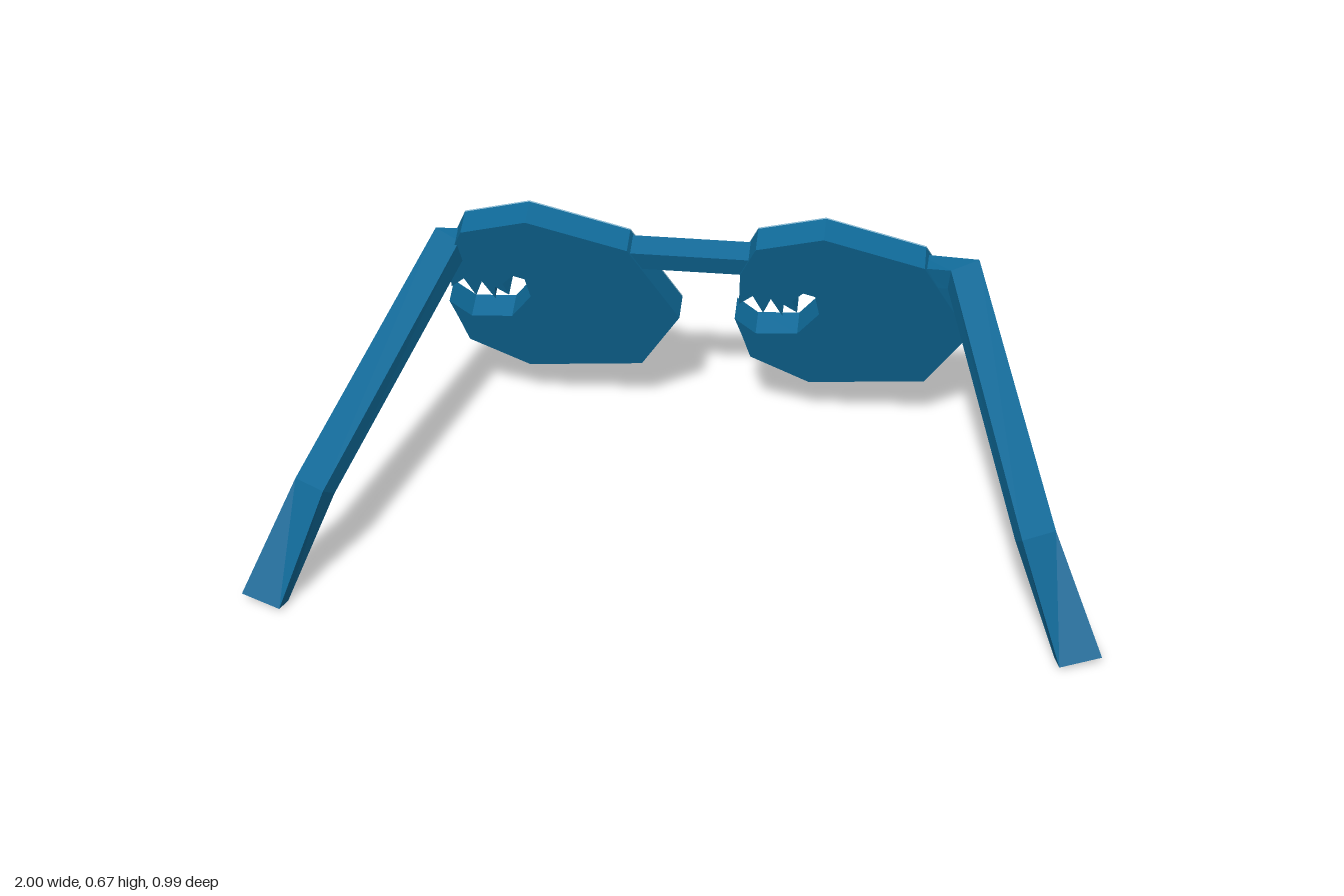
import * as THREE from 'three';

const TILT = 0.316;      // lean of the lenses
const DEPTH = 0.07;      // lens thickness
const MID_Y = 0.386;     // height of the lens pivot

// Crest edge shared by the lens and its foam: right side, over the top, down to the dripping teeth
const crest = [
  [0.295, 0.34], [0.175, 0.57], [-0.07, 0.648], [-0.235, 0.6], [-0.275, 0.51], [-0.28, 0.405],
  [-0.245, 0.437], [-0.22, 0.378], [-0.2, 0.43], [-0.172, 0.372], [-0.168, 0.412],
  [-0.135, 0.387], [-0.148, 0.425], [-0.12, 0.457], [-0.09, 0.447],
];
// Hollow of the wave, its lower hook and the round underside
const trough = [
  [-0.08, 0.385], [-0.135, 0.308], [-0.24, 0.3], [-0.292, 0.35],
  [-0.275, 0.29], [-0.255, 0.21], [-0.105, 0.125], [0.19, 0.157],
];
// Wavy lower border of the foam
const drips = [
  [-0.045, 0.478], [-0.013, 0.478], [0.012, 0.415], [0.045, 0.425], [0.072, 0.447],
  [0.1, 0.36], [0.125, 0.37], [0.148, 0.41], [0.16, 0.336], [0.19, 0.35], [0.22, 0.38], [0.27, 0.3],
];

function plate(points, depth) {
  const shape = new THREE.Shape(
    points.map(([x, y]) => new THREE.Vector2(x, (y - MID_Y) / Math.cos(TILT))));
  return new THREE.ExtrudeGeometry(shape, { depth, bevelEnabled: false });
}

// Four-cornered bar through rings of corners; side = -1 mirrors it in x
function bar(rings, side) {
  const pos = rings.flat().flatMap(([x, y, z]) => [x * side, y, z]);
  const faces = [[0, 3, 2], [0, 2, 1]];
  for (let r = 0; r < rings.length - 1; r++) {
    for (let i = 0; i < 4; i++) {
      const a = r * 4 + i, b = r * 4 + (i + 1) % 4;
      faces.push([a, b, b + 4], [a, b + 4, a + 4]);
    }
  }
  const e = (rings.length - 1) * 4;
  faces.push([e, e + 1, e + 2], [e, e + 2, e + 3]);
  const geo = new THREE.BufferGeometry();
  geo.setAttribute('position', new THREE.Float32BufferAttribute(pos, 3));
  geo.setIndex(faces.flatMap(f => (side < 0 ? [f[0], f[2], f[1]] : f)));
  const flat = geo.toNonIndexed();
  flat.computeVertexNormals();
  return flat;
}

export function createModel() {
  const model = new THREE.Group();
  model.name = 'waveGlasses';

  const blue = new THREE.MeshStandardMaterial({ color: 0x0e6896 });
  blue.name = 'oceanBlue';
  const pale = new THREE.MeshStandardMaterial({ color: 0x86b4cc });
  pale.name = 'foamBlue';

  const add = (parent, name, geo, mat) => {
    const mesh = new THREE.Mesh(geo, mat);
    mesh.name = name;
    parent.add(mesh);
    return mesh;
  };

  // Lenses: the same wave twice, with foam on the back
  const lensGeo = plate([...crest, ...trough], DEPTH);
  const foamGeo = plate([...crest, ...drips], 0.004);
  for (const [name, x] of [['rightLens', -0.36], ['leftLens', 0.367]]) {
    const lens = new THREE.Group();
    lens.name = name;
    lens.position.set(x, MID_Y, -0.344);
    lens.rotation.x = TILT;
    add(lens, 'wave', lensGeo, blue).position.z = -DEPTH;
    add(lens, 'foam', foamGeo, pale).position.z = -DEPTH - 0.004;
    model.add(lens);
  }

  // Bridge between the lenses
  const bridge = add(model, 'bridge', new THREE.BoxGeometry(0.4, 0.055, 0.06), blue);
  bridge.position.set(0, 0.542, -0.33);
  bridge.rotation.x = TILT;

  // Temples: hinge stub, long arm and bent ear piece
  // Ring corners: top outer, top inner, bottom inner, bottom outer
  const rings = [
    [[0.52, 0.575, -0.345], [0.52, 0.565, -0.295], [0.52, 0.505, -0.305], [0.52, 0.51, -0.35]],
    [[0.672, 0.57, -0.343], [0.605, 0.56, -0.3], [0.6, 0.503, -0.31], [0.665, 0.51, -0.35]],
    [[0.875, 0.29, 0.36], [0.8, 0.288, 0.402], [0.787, 0.25, 0.355], [0.865, 0.255, 0.345]],
    [[1, 0.024, 0.47], [0.905, 0.008, 0.497], [0.895, 0, 0.455], [0.995, 0.018, 0.44]],
  ];
  add(model, 'leftTemple', bar(rings, 1), blue);
  add(model, 'rightTemple', bar(rings, -1), blue);

  return model;
}
